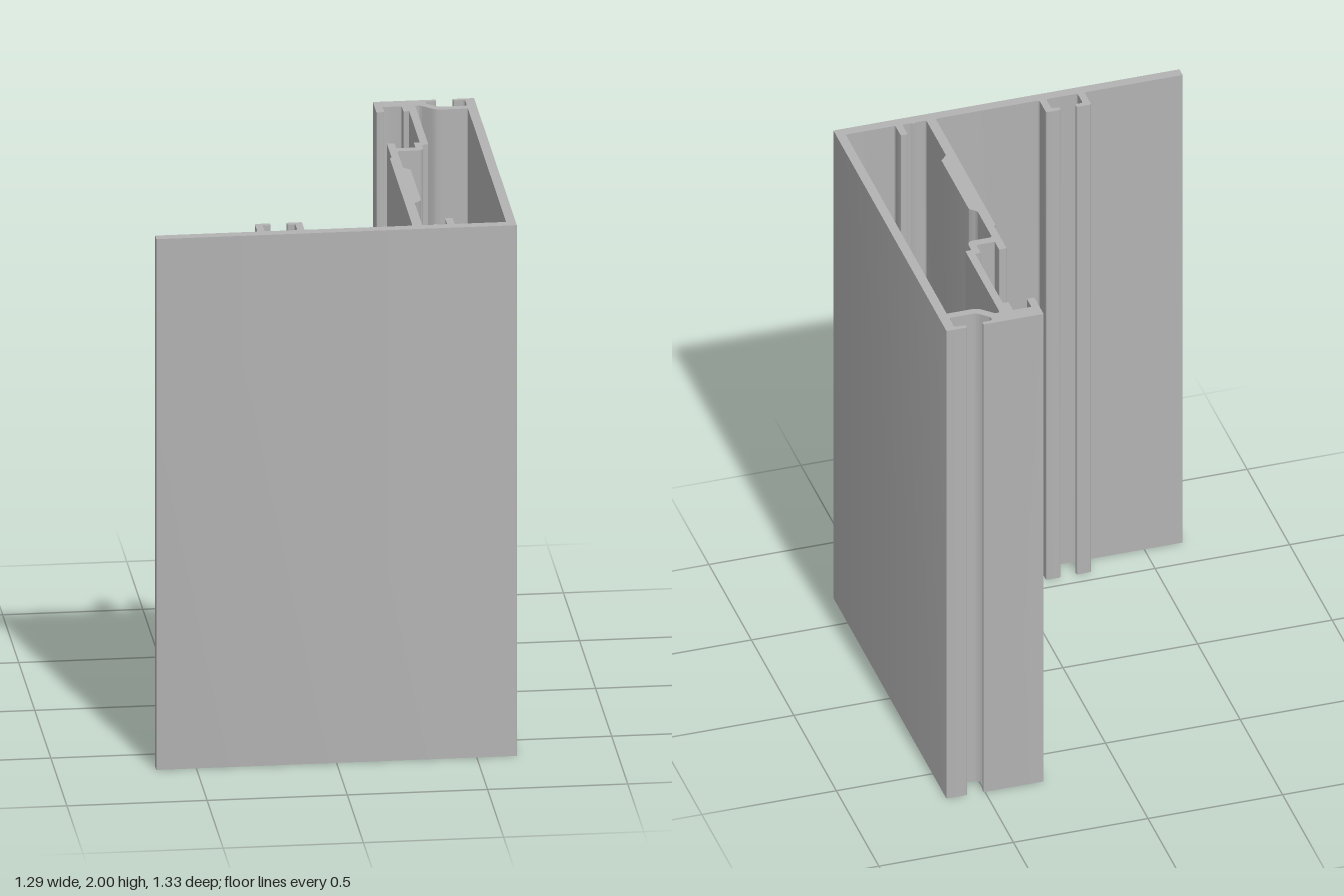
import * as THREE from 'three';
import { toCreasedNormals } from 'three/addons/utils/BufferGeometryUtils.js';

const HEIGHT = 2;

// Adds a closed outline of [x, z, radius?] corners to a path, rounding each corner.
function roundedOutline(path, corners, defaultRadius = 0.005) {
  const pts = corners.map(([x, z]) => new THREE.Vector2(x, -z));
  const n = pts.length;
  pts.forEach((p, i) => {
    const prev = pts[(i + n - 1) % n], next = pts[(i + 1) % n];
    const r = Math.min(corners[i][2] ?? defaultRadius, p.distanceTo(prev) * 0.48, p.distanceTo(next) * 0.48);
    const a = p.clone().lerp(prev, r / p.distanceTo(prev));
    const b = p.clone().lerp(next, r / p.distanceTo(next));
    if (i === 0) path.moveTo(a.x, a.y);
    else path.lineTo(a.x, a.y);
    if (r > 0) path.quadraticCurveTo(p.x, p.y, b.x, b.y);
  });
  path.closePath();
  return path;
}

// Front plate and side wall
const shell = [
  [-0.643, 0.627], [-0.643, 0.665], [0.643, 0.665, 0.002], [0.643, -0.665, 0.002],
];

// Rear slot: right lip, pocket, left lip
const rearSlot = [
  [0.566, -0.665], [0.566, -0.649, 0.008], [0.609, -0.649, 0.01], [0.609, -0.589, 0.01],
  [0.508, -0.589, 0.015], [0.466, -0.63, 0.008], [0.47, -0.649, 0.01], [0.506, -0.649, 0.008], [0.506, -0.665],
];

// Rear block with its grooved jaw, then the web and the matching inner jaw
const jaws = [
  [0.282, -0.665, 0.002], [0.282, -0.556], [0.31, -0.556], [0.31, -0.609, 0.002],
  [0.378, -0.609, 0.002], [0.378, -0.556], [0.399, -0.556, 0.002],
  [0.399, -0.23, 0.002], [0.378, -0.23], [0.378, -0.178, 0.002],
  [0.31, -0.178, 0.002], [0.31, -0.23], [0.282, -0.23],
];

// Outer face of the divider wall
const dividerFace = [[0.282, -0.085, 0.002], [0.275, -0.077, 0.002], [0.275, 0.627, 0.01]];

// One hook of the plate's clip, from its outer foot to its inner foot; side is +1 or -1
const hook = (side) => [
  [0.084, 0.627, 0.01], [0.084, 0.547, 0.008], [0.029, 0.547, 0.007], [0.029, 0.566, 0.008],
  [0.058, 0.566, 0.008], [0.058, 0.627, 0.01],
].map(([x, z, r]) => [-0.194 + side * x, z, r]);

// Closed chamber between divider, web, shelf, side wall and plate
const chamber = [
  [0.31, 0.627, 0.01], [0.31, 0.395, 0.01], [0.335, 0.37], [0.335, 0.047], [0.31, 0.024, 0.01],
  [0.31, -0.147, 0.01], [0.405, -0.147, 0.035], [0.405, -0.203, 0.006], [0.427, -0.203],
  [0.427, -0.609, 0.012], [0.445, -0.609, 0.012], [0.496, -0.56, 0.02], [0.609, -0.56],
  [0.609, 0.627], [0.425, 0.627, 0.008], [0.425, 0.563], [0.399, 0.563], [0.399, 0.627, 0.008],
  [0.368, 0.627, 0.002], [0.358, 0.619, 0.004], [0.348, 0.627, 0.002],
];

export function createModel() {
  const group = new THREE.Group();
  group.name = 'extrudedProfile';
  const aluminium = new THREE.MeshStandardMaterial({ color: 0xb3b3b3 });
  aluminium.name = 'grey aluminium';

  const section = roundedOutline(new THREE.Shape(), [
    ...shell, ...rearSlot, ...jaws, ...dividerFace, ...hook(1), ...hook(-1).reverse(),
  ]);
  section.holes.push(roundedOutline(new THREE.Path(), chamber));

  // The section runs the full height
  const geometry = new THREE.ExtrudeGeometry(section, { depth: HEIGHT, bevelEnabled: false, curveSegments: 5 });
  geometry.rotateX(-Math.PI / 2);
  const profile = new THREE.Mesh(toCreasedNormals(geometry, Math.PI / 6), aluminium);
  profile.name = 'cornerProfile';
  group.add(profile);
  return group;
}
